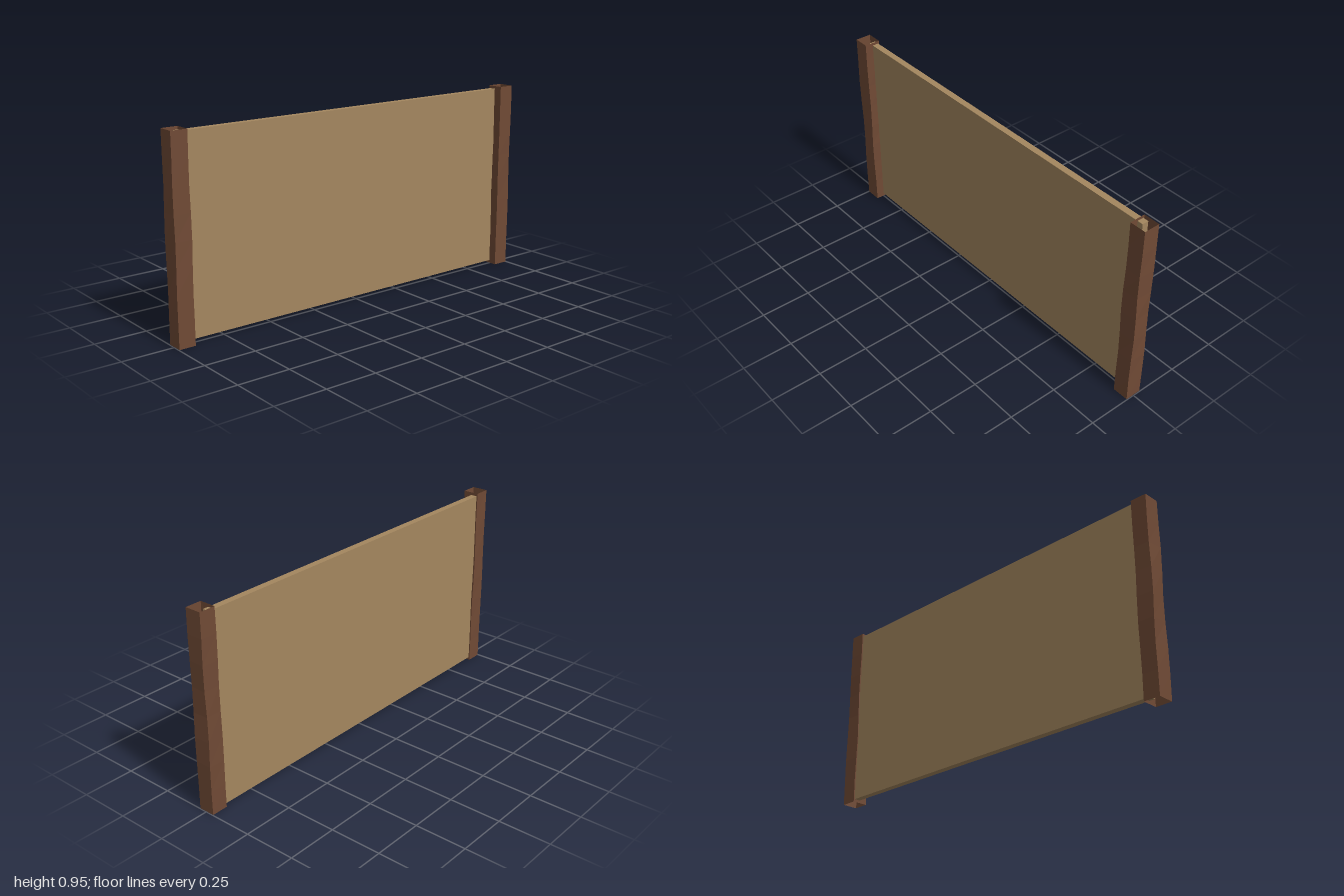
import * as THREE from 'three';

const HEIGHT = 0.95;
const HALF = 0.04;

// Open square tube with slightly uneven, hand-hewn sides
function postGeometry(phase) {
  const r = HALF * Math.SQRT2;
  const tube = new THREE.CylinderGeometry(r, r, HEIGHT, 4, 8, true);
  tube.rotateY(Math.PI / 4);
  tube.translate(0, HEIGHT / 2, 0);
  const p = tube.attributes.position;
  for (let i = 0; i < p.count; i++) {
    const x = p.getX(i), y = p.getY(i), z = p.getZ(i);
    const fade = Math.sin(Math.PI * y / HEIGHT);
    const corner = Math.sign(x) + 2 * Math.sign(z);
    p.setX(i, x + Math.sign(x) * 0.003 * fade * Math.sin(y * 11 + corner + phase));
    p.setZ(i, z + Math.sign(z) * 0.002 * fade * Math.sin(y * 9 + corner * 2 + phase));
  }
  const flat = tube.toNonIndexed();
  flat.computeVertexNormals();
  return flat;
}

export function createModel() {
  const model = new THREE.Group();
  model.name = 'fencePanel';

  const darkWood = new THREE.MeshStandardMaterial({ color: 0x704a35, side: THREE.DoubleSide });
  darkWood.name = 'dark wood';
  const lightWood = new THREE.MeshStandardMaterial({ color: 0xa4875f });
  lightWood.name = 'light wood';

  // Flat board, set toward the back and running into both posts
  const board = new THREE.Mesh(new THREE.BoxGeometry(1.89, 0.922, 0.032), lightWood);
  board.name = 'board';
  board.position.set(0, 0.475, -0.018);
  model.add(board);

  // Two end posts
  for (const side of [-1, 1]) {
    const post = new THREE.Mesh(postGeometry(side), darkWood);
    post.name = side > 0 ? 'leftPost' : 'rightPost';
    post.position.x = side * 0.957;
    model.add(post);
  }

  return model;
}
